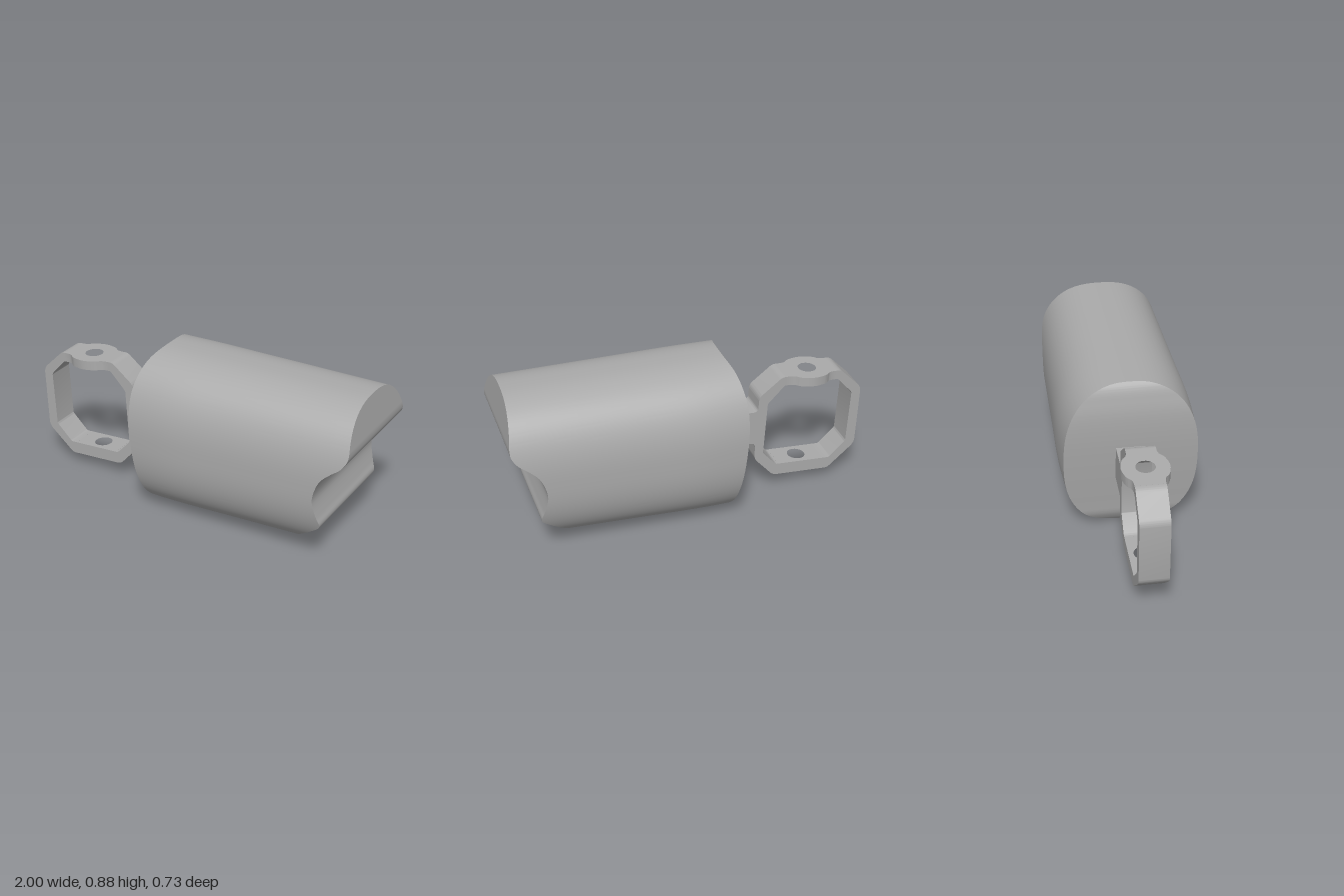
import * as THREE from 'three';
import { toCreasedNormals } from 'three/addons/utils/BufferGeometryUtils.js';

const grey = new THREE.MeshStandardMaterial({ color: 0xaaaaaa });
grey.name = 'grey';

const TOP = 0.88, HALF_WIDTH = 0.367, ROWS = 120;
const DEPTH = 0.154, Z_MID = -0.004; // bracket strap width and centre

function part(name, geometry) {
  const mesh = new THREE.Mesh(toCreasedNormals(geometry, 0.6), grey);
  mesh.name = name;
  return mesh;
}

// Surface from a rule; it faces along dv x du
function grid(nu, nv, rule) {
  const pos = [], index = [];
  for (let i = 0; i <= nu; i++) for (let j = 0; j <= nv; j++) pos.push(...rule(i / nu, j / nv));
  for (let i = 0; i < nu; i++) for (let j = 0; j < nv; j++) {
    const a = i * (nv + 1) + j, c = a + nv + 1;
    index.push(a, a + 1, c, c, a + 1, c + 1);
  }
  const g = new THREE.BufferGeometry();
  g.setAttribute('position', new THREE.Float32BufferAttribute(pos, 3));
  g.setIndex(index);
  return g;
}

// Linear lookup in a list of [key, value] with rising keys
function lookup(list, k) {
  let i = 1;
  while (i < list.length - 1 && list[i][0] < k) i++;
  const [k0, v0] = list[i - 1], [k1, v1] = list[i];
  return v0 + (v1 - v0) * THREE.MathUtils.clamp((k - k0) / (k1 - k0), 0, 1);
}

function smooth(points, n) {
  const curve = new THREE.SplineCurve(points.map(p => new THREE.Vector2(...p)));
  return curve.getPoints(n).map(p => [p.x, p.y]);
}

// Rising underside and slight taper along the length
const shrink = x => 1 - Math.max(0, (x + 0.15) * 0.04) / TOP;
const taper = smooth([[-0.25, 0.965], [0, 1], [0.3, 0.985], [0.6, 0.97], [1, 0.95]], 30);

// End profiles as [height, x]
const rear = [...smooth([[0, -0.15], [0.035, -0.175], [0.08, -0.195], [0.15, -0.205], [0.35, -0.23],
  [0.55, -0.248], [0.7, -0.25], [0.8, -0.235], [0.85, -0.22], [0.88, -0.2]], 60)];
const nose = [[0.03, 0.62], ...smooth([[0.215, 0.842], [0.235, 0.86], [0.26, 0.862], [0.3, 0.848],
  [0.39, 0.828], [0.46, 0.84], [0.52, 0.868], [0.57, 0.92], [0.605, 0.965], [0.65, 0.995],
  [0.69, 0.999]], 60), [0.88, 0.97]].map(([y, x]) => [TOP - (TOP - y) / shrink(x), x]);

function createBody() {
  const body = new THREE.Group();
  body.name = 'body';
  // Superellipse section, a = 0 at the top
  const section = a => {
    const c = Math.cos(a), s = Math.sin(a);
    return [TOP / 2 * (1 + Math.sign(c) * Math.abs(c) ** 0.8),
      HALF_WIDTH * Math.sign(s) * Math.abs(s) ** 0.8];
  };
  const place = (x, y, z) => [x, TOP - (TOP - y) * shrink(x), z * lookup(taper, x)];
  body.add(part('bodyShell', grid(14, ROWS * 2, (u, v) => {
    const [y, z] = section(v * Math.PI * 2);
    const x0 = lookup(rear, y), x1 = lookup(nose, y);
    return place(x0 + (x1 - x0) * u, y, z);
  })));
  for (const [name, profile, side] of [['noseFace', nose, 1], ['rearFace', rear, -1]]) {
    body.add(part(name, grid(2, ROWS, (u, v) => {
      const [y, z] = section(Math.PI * (1 - v));
      return place(lookup(profile, y), y, z * (2 * u - 1) * side);
    })));
  }
  return body;
}

// Polygon of [x, y, corner radius]
function roundedShape(points) {
  const shape = new THREE.Shape(), n = points.length;
  const v = points.map(p => new THREE.Vector2(p[0], p[1]));
  points.forEach(([x, y, r = 0], i) => {
    const toward = q => q.clone().sub(v[i]).setLength(r).add(v[i]);
    const a = toward(v[(i + n - 1) % n]), b = toward(v[(i + 1) % n]);
    if (i) shape.lineTo(a.x, a.y); else shape.moveTo(a.x, a.y);
    if (r) shape.quadraticCurveTo(x, y, b.x, b.y);
  });
  return shape;
}

function extrude(shape, depth) {
  const g = new THREE.ExtrudeGeometry(shape, { depth, bevelEnabled: false, curveSegments: 12 });
  return g.translate(0, 0, -depth / 2);
}

// Pierced strap lying across the bracket, slightly tilted
function plate(name, outline, thickness, x, y, tilt) {
  const shape = new THREE.Shape(outline.map(p => new THREE.Vector2(...p)));
  shape.holes.push(new THREE.Path().absarc(0, 0, 0.05, 0, Math.PI * 2, true));
  const mesh = part(name, extrude(shape, thickness).rotateX(-Math.PI / 2));
  mesh.position.set(x, y, Z_MID);
  mesh.rotation.z = tilt;
  return mesh;
}

function createBracket() {
  const bracket = new THREE.Group();
  bracket.name = 'bracket';
  const sides = {
    // Side beside the body, with the neck
    innerSide: [[-0.56, 0.699], [-0.535, 0.7, 0.02], [-0.405, 0.598, 0.025], [-0.4, 0.51, 0.025],
      [-0.2, 0.515], [-0.2, 0.325], [-0.388, 0.312, 0.025], [-0.388, 0.21, 0.025],
      [-0.5, 0.085, 0.025], [-0.53, 0.083], [-0.53, 0.151], [-0.515, 0.152, 0.01],
      [-0.437, 0.24, 0.01], [-0.455, 0.55, 0.01], [-0.55, 0.648, 0.01], [-0.56, 0.647]],
    // Far side
    outerSide: [[-0.85, 0.685], [-0.875, 0.683, 0.02], [-1.0, 0.56, 0.03], [-0.985, 0.2, 0.03],
      [-0.825, 0.062, 0.025], [-0.8, 0.067], [-0.8, 0.135], [-0.835, 0.133, 0.01],
      [-0.93, 0.225, 0.01], [-0.947, 0.535, 0.01], [-0.86, 0.632, 0.01], [-0.85, 0.633]],
  };
  for (const [name, points] of Object.entries(sides)) {
    const mesh = part(name, extrude(roundedShape(points), DEPTH));
    mesh.position.z = Z_MID;
    bracket.add(mesh);
  }
  // Upper strap swells round its hole, lower strap is straight
  const w = DEPTH / 2;
  const bulge = smooth([[-0.125, w], [-0.098, 0.084], [-0.068, 0.107], [0, 0.122],
    [0.068, 0.107], [0.098, 0.084], [0.125, w]], 28);
  const edge = [[-0.147, w], ...bulge, [0.147, w]];
  const swollen = [...edge, ...edge.map(([x, y]) => [-x, -y])];
  bracket.add(plate('upperStrap', swollen, 0.052, -0.705, 0.666, 0.048));
  const straight = [[-0.137, w], [0.137, w], [0.137, -w], [-0.137, -w]];
  bracket.add(plate('lowerStrap', straight, 0.068, -0.665, 0.109, 0.06));
  return bracket;
}

export function createModel() {
  const model = new THREE.Group();
  model.name = 'model';
  model.add(createBody(), createBracket());
  return model;
}
